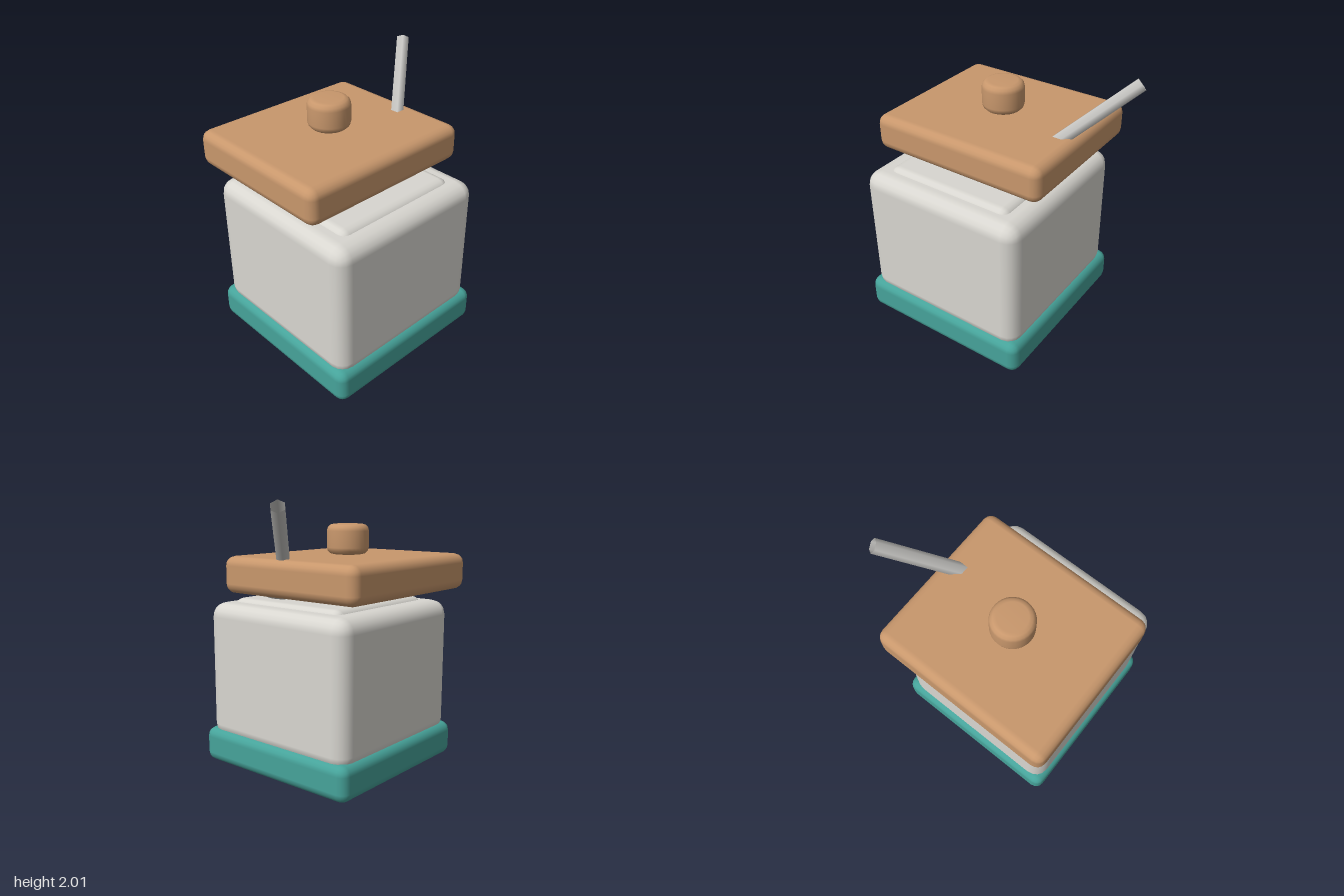
import * as THREE from 'three';
import { RoundedBoxGeometry } from 'three/addons/geometries/RoundedBoxGeometry.js';

export function createModel() {
  const model = new THREE.Group();
  model.name = 'sugarBox';

  const material = (name, color, side = THREE.FrontSide) => {
    const m = new THREE.MeshStandardMaterial({ color, side });
    m.name = name;
    return m;
  };
  const ceramic = material('ceramic', 0xd8d6d0);
  const teal = material('teal', 0x46a39a);
  const wood = material('wood', 0xc8976c);
  const metal = material('metal', 0xc6c5c2, THREE.DoubleSide);

  const add = (name, geometry, mat, parent = model) => {
    const mesh = new THREE.Mesh(geometry, mat);
    mesh.name = name;
    parent.add(mesh);
    return mesh;
  };

  // Rounded block given by its extents on each axis
  const block = (name, [x0, x1], [y0, y1], [z0, z1], radius, mat) => {
    const geometry = new RoundedBoxGeometry(x1 - x0, y1 - y0, z1 - z0, 2, radius);
    add(name, geometry, mat).position.set((x0 + x1) / 2, (y0 + y1) / 2, (z0 + z1) / 2);
  };

  block('base', [-0.85, 0.535], [0, 0.265], [-0.655, 0.73], 0.07, teal);
  block('body', [-0.82, 0.5], [0.19, 1.245], [-0.62, 0.7], 0.11, ceramic);
  block('innerRim', [-0.68, 0.36], [1.11, 1.275], [-0.465, 0.578], 0.07, ceramic);
  block('lid', [-0.85, 0.535], [1.335, 1.605], [-0.73, 0.48], 0.07, wood);

  // Round knob with softened edges
  const r = 0.155, h = 0.22, b = 0.05;
  const profile = [new THREE.Vector2(0, 0)];
  for (let i = 0; i <= 3; i++) {
    const a = (i / 3) * Math.PI / 2;
    profile.push(new THREE.Vector2(r - b + b * Math.sin(a), b - b * Math.cos(a)));
  }
  for (let i = 0; i <= 3; i++) {
    const a = (i / 3) * Math.PI / 2;
    profile.push(new THREE.Vector2(r - b + b * Math.cos(a), h - b + b * Math.sin(a)));
  }
  profile.push(new THREE.Vector2(0, h));
  add('knob', new THREE.LatheGeometry(profile, 32), wood).position.set(-0.155, 1.61, -0.13);

  // Spoon: shallow bowl under the lid and a hollow handle rising through it
  const spoon = new THREE.Group();
  spoon.name = 'spoon';
  model.add(spoon);
  const bowl = add('spoonBowl', new THREE.SphereGeometry(1, 20, 12), metal, spoon);
  bowl.scale.set(0.23, 0.1, 0.18);
  bowl.position.set(0.14, 1.372, 0.24);

  const path = new THREE.LineCurve3(
    new THREE.Vector3(0.16, 1.35, 0.2),
    new THREE.Vector3(0.808, 1.963, -0.345)
  );
  add('spoonHandle', new THREE.TubeGeometry(path, 4, 0.052, 6, false), metal, spoon);

  return model;
}
